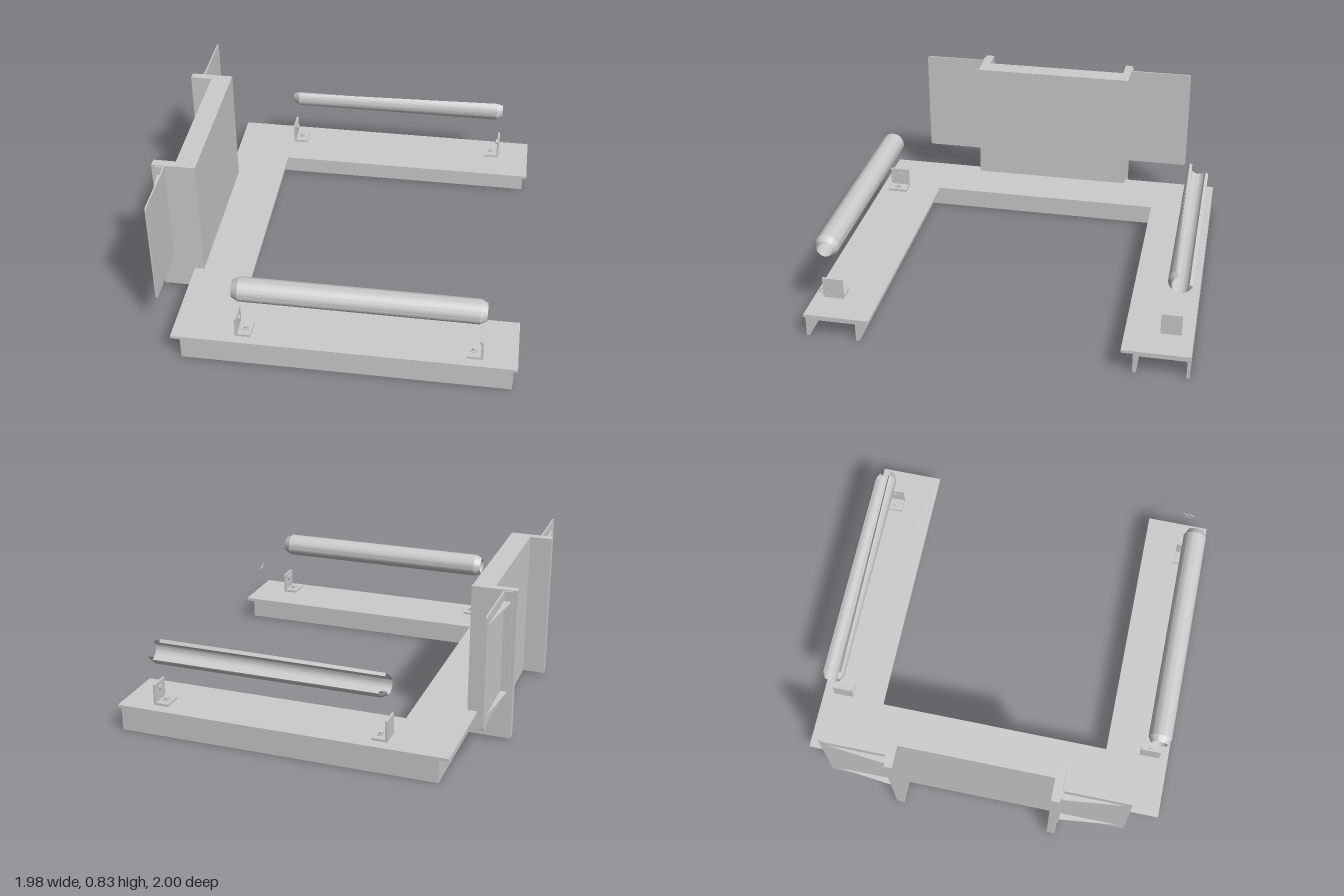
import * as THREE from 'three';
import { toCreasedNormals } from 'three/addons/utils/BufferGeometryUtils.js';
import { ParametricGeometry } from 'three/addons/geometries/ParametricGeometry.js';

const grey = new THREE.MeshStandardMaterial({ color: 0xcccccc, side: THREE.DoubleSide });

function add(parent, name, geometry) {
  const mesh = new THREE.Mesh(geometry, grey);
  mesh.name = name;
  parent.add(mesh);
  return mesh;
}

// Box given by its limits on each axis
function box(parent, name, x0, x1, y0, y1, z0, z1) {
  const m = add(parent, name, new THREE.BoxGeometry(x1 - x0, y1 - y0, Math.abs(z1 - z0)));
  m.position.set((x0 + x1) / 2, (y0 + y1) / 2, (z0 + z1) / 2);
  return m;
}

const outline = (pts) => new THREE.Shape(pts.map(([x, y]) => new THREE.Vector2(x, y)));

// Flat plate: outline in (x, z), raised from y0 by a thickness
function slab(parent, name, pts, y0, thickness) {
  const g = new THREE.ExtrudeGeometry(outline(pts), { depth: thickness, bevelEnabled: false });
  g.rotateX(Math.PI / 2).translate(0, y0 + thickness, 0);
  return add(parent, name, g);
}

// U-shaped deck on open channel rails
function buildFrame(root) {
  const frame = new THREE.Group();
  frame.name = 'frame';
  root.add(frame);
  slab(frame, 'deckPlate', [[-0.81, -1], [0.985, -1], [0.985, -0.65], [-0.485, -0.65],
    [-0.485, 0.65], [0.985, 0.65], [0.985, 1], [-0.81, 1]], 0.125, 0.016);
  for (const s of [1, -1]) {
    box(frame, 'outerRailWall', -0.76, 0.965, 0, 0.125, s * 0.982, s * 0.998);
    box(frame, 'innerRailWall', -0.56, 0.965, 0, 0.125, s * 0.71, s * 0.73);
    box(frame, 'railWeb', -0.75, 0.965, 0.1, 0.125, s * 0.73, s * 0.982);
  }
  box(frame, 'crossRailOuterWall', -0.76, -0.742, 0, 0.125, -0.982, 0.982);
  box(frame, 'crossRailInnerWall', -0.56, -0.54, 0, 0.125, -0.71, 0.71);
  box(frame, 'crossRailWeb', -0.742, -0.56, 0.1, 0.125, -0.73, 0.73);
}

// Upright channel panel with a ribbed wing on each side
function buildUpright(root) {
  const upright = new THREE.Group();
  upright.name = 'upright';
  root.add(upright);
  slab(upright, 'uprightChannel', [[-0.99, -0.455], [-0.757, -0.455], [-0.757, 0.455], [-0.99, 0.455],
    [-0.99, 0.408], [-0.87, 0.408], [-0.87, -0.412], [-0.99, -0.412]], 0.015, 0.813);

  for (const s of [1, -1]) {
    const wing = new THREE.Group();
    wing.name = s > 0 ? 'leftWing' : 'rightWing';
    upright.add(wing);
    // Sheet with rounded outer corners, drawn in (z, y)
    const [z0, z1, y0, y1, r] = [0.455, 0.815, 0.22, 0.823, 0.015];
    const sheet = new THREE.Shape();
    sheet.moveTo(s * z0, y0);
    sheet.lineTo(s * (z1 - r), y0);
    sheet.quadraticCurveTo(s * z1, y0, s * z1, y0 + r);
    sheet.lineTo(s * z1, y1 - r);
    sheet.quadraticCurveTo(s * z1, y1, s * (z1 - r), y1);
    sheet.lineTo(s * z0, y1);
    const g = new THREE.ExtrudeGeometry(sheet, { depth: 0.008, bevelEnabled: false, curveSegments: 5 });
    g.rotateY(-Math.PI / 2).translate(-0.919, 0, 0);
    add(wing, 'wingSheet', g);
    box(wing, 'wingMount', -0.968, -0.925, y0, y1, s * 0.455, s * 0.464);
    for (const y of [0.275, 0.765]) {
      slab(wing, 'wingRib', [[-0.962, s * 0.46], [-0.925, s * 0.46], [-0.925, s * 0.8]], y, 0.007);
    }
  }
}

// Angle bracket with two bolts; dir is the way its foot points along x
function bracket(root, x, dir, z0, z1) {
  const b = new THREE.Group();
  b.name = 'bracket';
  b.position.set(x, 0.141, (z0 + z1) / 2);
  root.add(b);
  const h = Math.abs(z1 - z0) / 2;
  const span = (a, c) => [Math.min(dir * a, dir * c), Math.max(dir * a, dir * c)];
  box(b, 'bracketFoot', ...span(0, 0.083), 0, 0.013, -h, h);
  box(b, 'bracketPlate', ...span(0, 0.012), 0, 0.115, -h, h);
  add(b, 'footWasher', new THREE.CylinderGeometry(0.022, 0.022, 0.004, 20)).position.set(dir * 0.048, 0.015, 0);
  add(b, 'footBolt', new THREE.CylinderGeometry(0.013, 0.013, 0.012, 6)).position.set(dir * 0.048, 0.021, 0);
  const bolt = add(b, 'plateBolt', new THREE.CylinderGeometry(0.015, 0.015, 0.012, 6));
  bolt.rotation.z = Math.PI / 2;
  bolt.position.set(dir * 0.016, 0.08, 0);
}

// Hollow tube along x with chamfered ends
const TUBE = { half: 0.645, outer: 0.064, inner: 0.045 };
function tubeGeometry(start, length) {
  const { half, outer, inner } = TUBE;
  const profile = [[inner, -half], [outer, -half + 0.035], [outer, half - 0.035], [inner, half], [inner, -half]];
  return new THREE.LatheGeometry(profile.map(([r, y]) => new THREE.Vector2(r, y)), 48, start, length)
    .rotateZ(-Math.PI / 2);
}

function buildTubes(root) {
  const whole = add(root, 'leftTube', toCreasedNormals(tubeGeometry(0, Math.PI * 2), 0.45));
  whole.position.set(0.165, 0.441, 0.918);

  // Cut-open tube; its upper edge slants along the length
  const rad = THREE.MathUtils.degToRad;
  const { half, outer, inner } = TUBE;
  const from = rad(-65), to = rad(160);
  const edge = (x) => THREE.MathUtils.lerp(rad(-38), rad(-65), (x + half) / (2 * half));
  const g = tubeGeometry(from, to - from);
  const p = g.attributes.position;
  for (let i = 0; i < p.count; i++) {
    const x = p.getX(i), r = Math.hypot(p.getY(i), p.getZ(i));
    const t = (Math.atan2(-p.getY(i), p.getZ(i)) - from) / (to - from);
    const a = THREE.MathUtils.lerp(edge(x), to, t);
    p.setXYZ(i, x, -r * Math.sin(a), r * Math.cos(a));
  }
  const tube = new THREE.Group();
  tube.name = 'rightTube';
  tube.position.set(0.165, 0.441, -0.914);
  root.add(tube);
  add(tube, 'cutTubeShell', toCreasedNormals(g, 0.45));
  // Faces that close the wall along both cuts
  for (const angle of [edge, () => to]) {
    add(tube, 'cutEdge', new ParametricGeometry((u, v, out) => {
      const x = (u * 2 - 1) * (half - 0.035);
      const r = inner + v * (outer - inner);
      out.set(x, -r * Math.sin(angle(x)), r * Math.cos(angle(x)));
    }, 12, 1));
  }
}

// Pair of thin arrow marks pointing outward
function buildArrows(root) {
  for (const z of [0.873, 0.905]) {
    const t = 0.008, w = 0.026, h = 0.024;
    const g = new THREE.ExtrudeGeometry(outline([[0, 0], [-w, h], [-w - t, h], [-t, 0],
      [-w - t, -h], [-w, -h]]), { depth: 0.003, bevelEnabled: false });
    g.rotateY(-Math.PI / 2);
    add(root, 'arrowMark', g).position.set(0.974, 0.295, z);
  }
}

export function createModel() {
  const root = new THREE.Group();
  root.name = 'uFrameAssembly';
  buildFrame(root);
  buildUpright(root);
  for (const [z0, z1] of [[0.84, 0.95], [-0.83, -0.937]]) {
    bracket(root, -0.478, 1, z0, z1);
    bracket(root, 0.806, -1, z0, z1);
  }
  buildTubes(root);
  buildArrows(root);
  return root;
}
